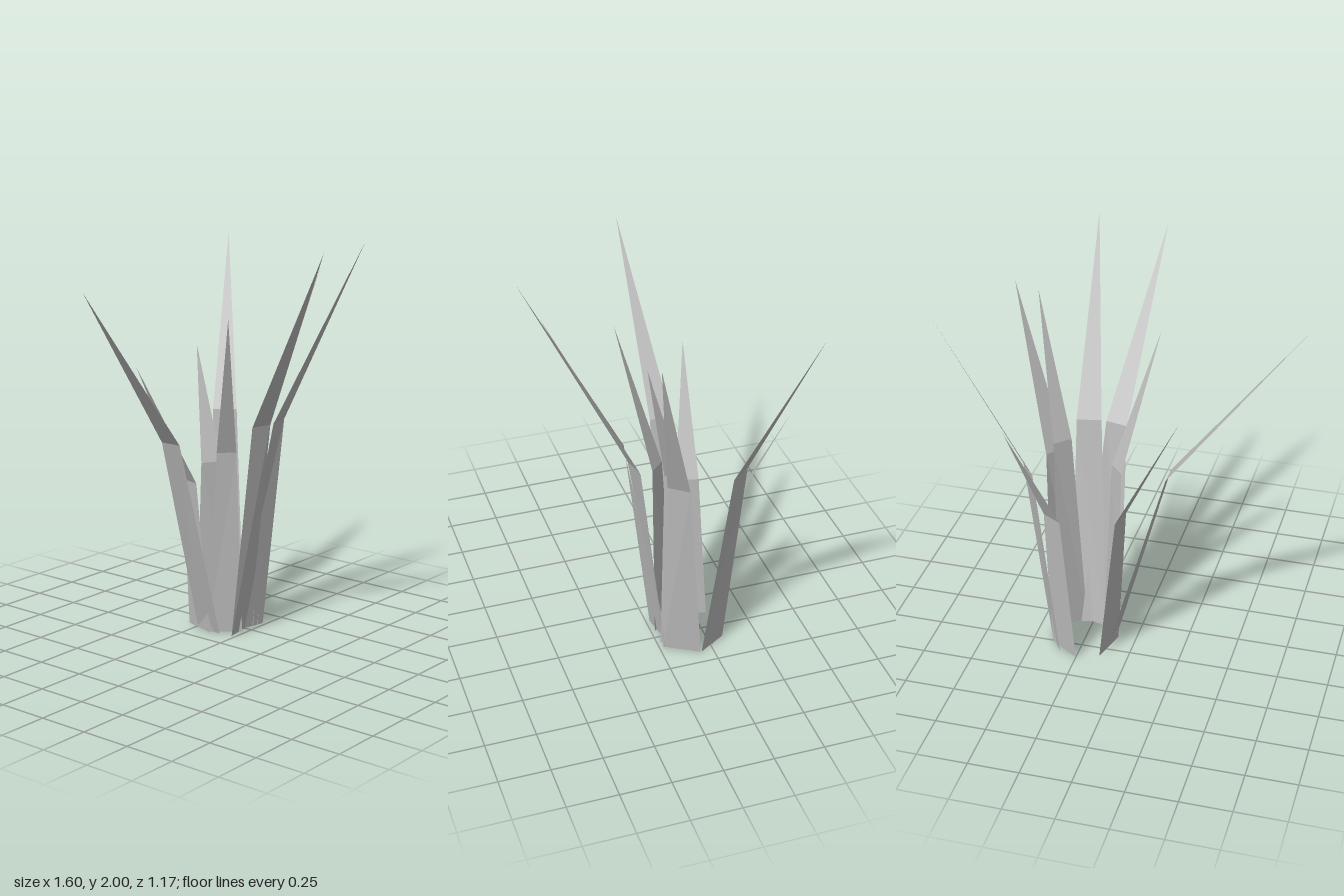
import * as THREE from 'three';

const leafGrey = new THREE.MeshStandardMaterial({ color: 0xbbbbbb, side: THREE.DoubleSide, flatShading: true });
leafGrey.name = 'leafGrey';

// One folded blade: a tapering strip from base edge to bend edge, then a pointed tip.
// base and bend are [x1, z1, x2, z2]; bendY is the bend height; tip is [x, y, z].
function blade(name, base, bendY, bend, tip) {
  const geometry = new THREE.BufferGeometry();
  geometry.setAttribute('position', new THREE.Float32BufferAttribute([
    base[0], 0, base[1], base[2], 0, base[3],
    bend[0], bendY, bend[1], bend[2], bendY, bend[3],
    ...tip,
  ], 3));
  geometry.setIndex([0, 1, 3, 0, 3, 2, 2, 3, 4]);
  geometry.computeVertexNormals();
  const mesh = new THREE.Mesh(geometry, leafGrey);
  mesh.name = name;
  return mesh;
}

export function createModel() {
  const group = new THREE.Group();
  group.name = 'grassTuft';

  // Blades around an open ring, listed from the front towards the left, then the right
  group.add(
    blade('frontRightBlade', [0.115, -0.02, 0.31, -0.055], 1.09, [0.11, 0.11, 0.22, 0.135], [0.025, 1.98, 0.58]),
    blade('frontLeftBlade', [0.18, -0.06, 0.37, -0.02], 1.09, [0.245, 0.135, 0.365, 0.11], [0.37, 2.0, 0.57]),
    blade('leftFrontBlade', [0.29, -0.02, 0.4, -0.14], 1.05, [0.355, -0.01, 0.425, -0.08], [0.55, 1.76, 0.14]),
    blade('leftBlade', [0.33, -0.02, 0.425, -0.185], 1.0, [0.385, -0.015, 0.455, -0.105], [0.655, 1.81, 0.11]),
    blade('leftBackBlade', [0.425, -0.19, 0.34, -0.33], 1.06, [0.505, -0.3, 0.43, -0.395], [0.8, 1.92, -0.59]),
    blade('backBlade', [0.4, -0.255, 0.25, -0.355], 0.8, [0.405, -0.32, 0.31, -0.375], [0.505, 1.37, -0.565]),
    blade('rightBackBlade', [0.14, -0.315, 0.09, -0.14], 0.78, [0.06, -0.29, 0.035, -0.18], [-0.255, 1.39, -0.308]),
    blade('rightBlade', [0.12, -0.24, 0.105, -0.09], 1.02, [-0.17, -0.225, -0.17, -0.113], [-0.795, 1.83, -0.142]),
    blade('rightFrontBlade', [0.09, -0.155, 0.2, -0.02], 0.94, [0.083, -0.09, 0.15, -0.02], [-0.065, 1.64, 0.1]),
  );
  return group;
}
